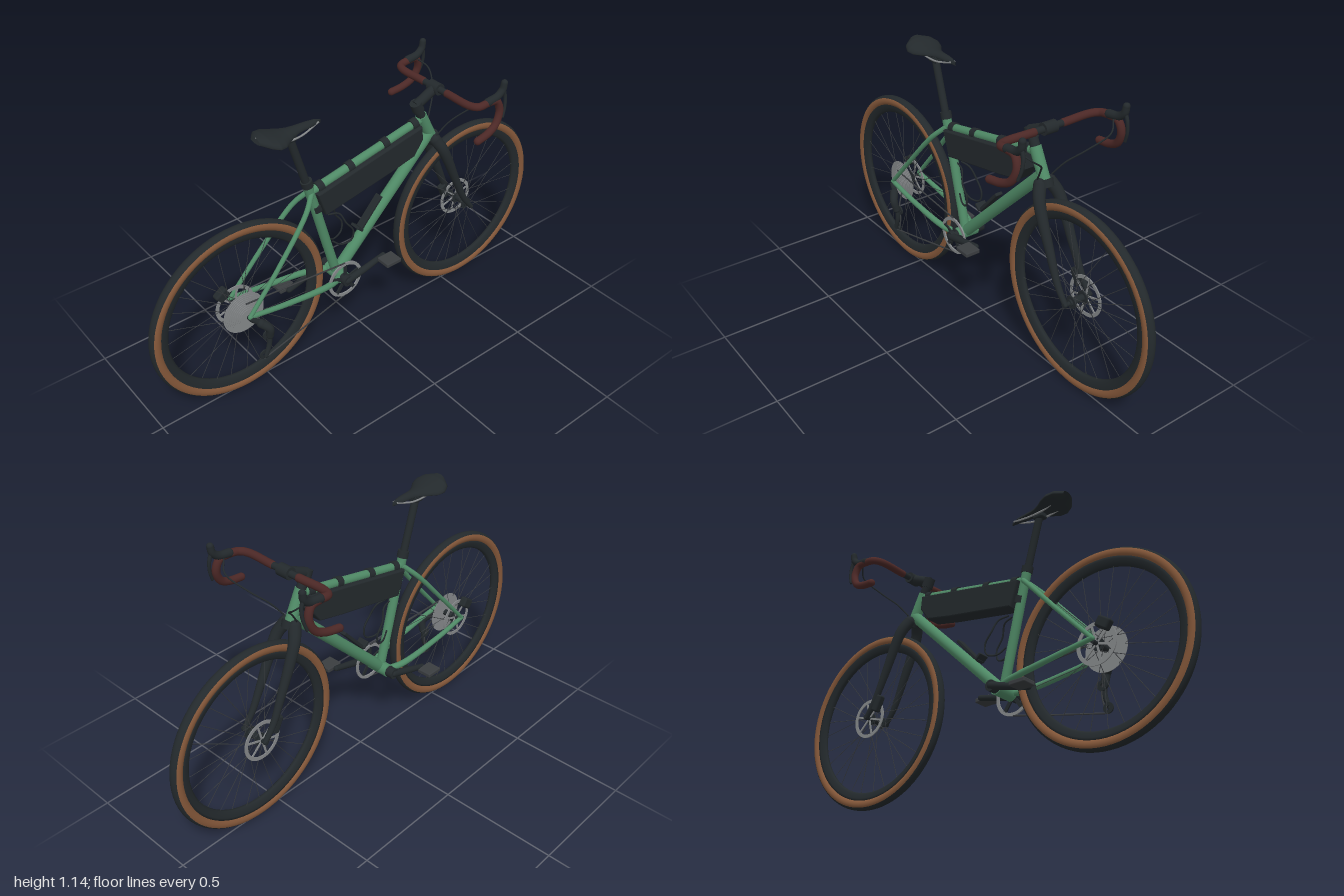
import * as THREE from 'three';
import { ParametricGeometry } from 'three/addons/geometries/ParametricGeometry.js';
import { RoundedBoxGeometry } from 'three/addons/geometries/RoundedBoxGeometry.js';

const paint = (color) => new THREE.MeshStandardMaterial({ color, side: THREE.DoubleSide });
const BLACK = paint(0x23292c), GREEN = paint(0x4f8a66), TAN = paint(0x85583a);
const TAPE = paint(0x4c2826), GREY = paint(0x85888a), STEEL = paint(0x3a3d40);
const V = (p) => new THREE.Vector3(...p);
const WHEEL_X = 0.599, WHEEL_R = 0.401;
const BB = [-0.125, 0.35, 0];

export function createModel() {
  const bike = new THREE.Group();
  bike.name = 'bicycle';

  const add = (name, geo, mat, pos = [0, 0, 0], parent = bike) => {
    const m = new THREE.Mesh(geo, mat);
    m.name = name;
    m.position.set(...pos);
    parent.add(m);
    return m;
  };
  // Straight, optionally tapered rod between two points
  const rod = (name, a, b, r0, mat, r1 = r0, sides = 16, parent = bike) => {
    const d = V(b).sub(V(a));
    const m = add(name, new THREE.CylinderGeometry(r1, r0, d.length(), sides), mat, V(a).add(V(b)).multiplyScalar(0.5).toArray(), parent);
    m.quaternion.setFromUnitVectors(new THREE.Vector3(0, 1, 0), d.normalize());
    return m;
  };
  // Curved tube with a linear taper and rounded ends
  const sweep = (name, pts, r0, mat, r1 = r0, sides = 12, seg = 28) => {
    const g = new THREE.Group();
    g.name = name;
    bike.add(g);
    const curve = new THREE.CatmullRomCurve3(pts.map(V));
    const geo = new THREE.TubeGeometry(curve, seg, 1, sides);
    const pos = geo.attributes.position, p = new THREE.Vector3();
    for (let i = 0; i < pos.count; i++) {
      const t = Math.floor(i / (sides + 1)) / seg;
      const c = curve.getPointAt(t);
      p.fromBufferAttribute(pos, i).sub(c).multiplyScalar(r0 + (r1 - r0) * t).add(c);
      pos.setXYZ(i, p.x, p.y, p.z);
    }
    add(name + 'Tube', geo, mat, [0, 0, 0], g);
    if (r0 > 0.006) {
      add(name + 'Start', new THREE.SphereGeometry(r0, sides, 8), mat, pts[0], g);
      add(name + 'End', new THREE.SphereGeometry(r1, sides, 8), mat, pts[pts.length - 1], g);
    }
    return g;
  };
  const box = (name, size, pos, mat, rotZ = 0) => {
    const m = add(name, new RoundedBoxGeometry(...size, 2, Math.min(...size) * 0.25), mat, pos);
    m.rotation.z = rotZ;
    return m;
  };
  // Flat annulus facing z, with optional arms to the centre
  const ring = (name, rOut, rIn, depth, pos, mat, arms = 0, armWidth = 0.01, armMat = mat) => {
    const g = new THREE.Group();
    g.name = name;
    g.position.set(...pos);
    bike.add(g);
    const s = new THREE.Shape().absarc(0, 0, rOut, 0, Math.PI * 2);
    s.holes.push(new THREE.Path().absarc(0, 0, rIn, 0, Math.PI * 2, true));
    add(name + 'Band', new THREE.ExtrudeGeometry(s, { depth, bevelEnabled: false, curveSegments: 32 }), mat, [0, 0, -depth / 2], g);
    for (let i = 0; i < arms; i++) {
      const a = (i / arms) * Math.PI * 2 + 0.3;
      const m = add(name + 'Arm', new THREE.BoxGeometry(rIn * 1.04, armWidth, depth), armMat, [Math.cos(a) * rIn * 0.52, Math.sin(a) * rIn * 0.52, 0], g);
      m.rotation.z = a;
    }
  };

  // Wheels: tread, sidewalls, rim, hub and crossed spokes
  const arc = (from, to) => Array.from({ length: 13 }, (_, i) => {
    const a = from + ((to - from) * i) / 12;
    return new THREE.Vector2(0.377 + 0.024 * Math.cos(a), 0.024 * Math.sin(a));
  });
  const rimProfile = [[0.362, 0.017], [0.35, 0.017], [0.332, 0.012], [0.324, 0.005], [0.324, -0.005], [0.332, -0.012], [0.35, -0.017], [0.362, -0.017], [0.362, 0.017]];
  for (const [name, x] of [['rearWheel', -WHEEL_X], ['frontWheel', WHEEL_X]]) {
    const wheel = new THREE.Group();
    wheel.name = name;
    wheel.position.set(x, WHEEL_R, 0);
    bike.add(wheel);
    const lathe = (part, pts, mat) => { add(part, new THREE.LatheGeometry(pts, 80), mat, [0, 0, 0], wheel).rotation.x = Math.PI / 2; };
    lathe('tread', arc(-0.95, 0.95), BLACK);
    lathe('sidewall', arc(0.95, 2.7), TAN);
    lathe('sidewall', arc(-2.7, -0.95), TAN);
    lathe('rim', rimProfile.map((p) => new THREE.Vector2(...p)), BLACK);
    rod('hub', [0, 0, -0.04], [0, 0, 0.04], 0.014, BLACK, 0.014, 20, wheel);
    rod('axle', [0, 0, -0.07], [0, 0, 0.07], 0.009, BLACK, 0.009, 12, wheel);
    for (const s of [-1, 1]) rod('hubFlange', [0, 0, s * 0.026], [0, 0, s * 0.032], 0.026, BLACK, 0.026, 20, wheel);
    for (let i = 0; i < 28; i++) {
      const a = (i / 28) * Math.PI * 2, s = i % 2 ? 1 : -1;
      const b = a + (i % 4 < 2 ? 1.2 : -1.2);
      rod('spoke', [0.024 * Math.cos(b), 0.024 * Math.sin(b), s * 0.029], [0.328 * Math.cos(a), 0.328 * Math.sin(a), s * 0.003], 0.0014, STEEL, 0.0014, 4, wheel);
    }
    ring(name + 'BrakeRotor', 0.088, 0.073, 0.004, [x, WHEEL_R, -0.042], GREY, 6, 0.008);
  }

  // Frame
  rod('seatTube', BB, [-0.258, 0.855, 0], 0.02, GREEN);
  rod('topTube', [-0.24, 0.808, 0], [0.325, 0.925, 0], 0.018, GREEN);
  rod('downTube', BB, [0.375, 0.845, 0], 0.025, GREEN);
  rod('headTube', [0.325, 0.943, 0], [0.386, 0.823, 0], 0.024, GREEN);
  rod('bottomBracket', [-0.125, 0.35, -0.05], [-0.125, 0.35, 0.05], 0.028, GREEN);
  for (const s of [-1, 1]) {
    sweep('chainStay', [[-0.13, 0.35, s * 0.035], [-0.2, 0.357, s * 0.062], [-0.42, 0.385, s * 0.074], [-0.6, 0.412, s * 0.072]], 0.015, GREEN, 0.01);
    sweep('seatStay', [[-0.246, 0.805, s * 0.012], [-0.3, 0.75, s * 0.045], [-0.45, 0.58, s * 0.066], [-0.602, 0.41, s * 0.072]], 0.011, GREEN, 0.009);
    // Fork leg
    sweep('forkLeg', [[0.388, 0.815, s * 0.025], [0.415, 0.765, s * 0.048], [0.5, 0.575, s * 0.057], [0.555, 0.46, s * 0.06], [WHEEL_X, WHEEL_R, s * 0.06]], 0.026, BLACK, 0.011);
  }
  rod('forkCrown', [0.384, 0.828, 0], [0.398, 0.8, 0], 0.034, BLACK, 0.03);

  // Seat post, clamp and saddle
  rod('seatCollar', [-0.254, 0.84, 0], [-0.262, 0.868, 0], 0.024, BLACK);
  rod('seatPost', [-0.25, 0.82, 0], [-0.329, 1.085, 0], 0.016, BLACK);
  box('saddleClamp', [0.05, 0.03, 0.04], [-0.33, 1.085, 0], BLACK);
  const lerp = (tab, t) => {
    const k = Math.min(Math.floor(t * (tab.length - 1)), tab.length - 2);
    return THREE.MathUtils.lerp(tab[k], tab[k + 1], t * (tab.length - 1) - k);
  };
  const halfWidth = [0.03, 0.068, 0.08, 0.072, 0.052, 0.035, 0.025, 0.021, 0.019, 0.013, 0.001];
  const topLine = [1.142, 1.143, 1.137, 1.13, 1.125, 1.123, 1.123, 1.123, 1.122, 1.12, 1.112];
  add('saddle', new ParametricGeometry((u, v, out) => {
    const a = v * Math.PI * 2, w = lerp(halfWidth, u), c = Math.cos(a), s = Math.sin(a);
    const thick = 0.012 + 0.25 * w;
    out.set(-0.475 + 0.29 * u, lerp(topLine, u) - thick + (s > 0 ? thick * s : thick * 0.35 * s), w * c);
  }, 40, 28), BLACK);
  for (const s of [-1, 1]) {
    sweep('saddleRail', [[-0.45, 1.115, s * 0.035], [-0.39, 1.092, s * 0.025], [-0.29, 1.088, s * 0.022], [-0.2, 1.108, s * 0.008]], 0.004, GREY, 0.004, 6);
  }

  // Steerer, stem and handlebar
  rod('steererSpacers', [0.325, 0.943, 0], [0.298, 0.998, 0], 0.02, BLACK);
  rod('stemClamp', [0.31, 0.972, 0], [0.292, 1.012, 0], 0.025, BLACK);
  rod('stem', [0.295, 0.998, 0], [0.395, 1.045, 0], 0.021, BLACK);
  rod('barClamp', [0.398, 1.047, -0.028], [0.398, 1.047, 0.028], 0.025, BLACK);
  rod('handlebarCentre', [0.398, 1.047, -0.075], [0.398, 1.047, 0.075], 0.014, BLACK);
  for (const s of [-1, 1]) {
    sweep('handlebarDrop', [[0.398, 1.047, s * 0.07], [0.398, 1.048, s * 0.2], [0.415, 1.05, s * 0.232], [0.46, 1.055, s * 0.238],
      [0.505, 1.05, s * 0.24], [0.523, 1.005, s * 0.245], [0.5, 0.952, s * 0.252], [0.455, 0.928, s * 0.258], [0.392, 0.917, s * 0.263]], 0.016, TAPE, 0.016, 14, 60);
    sweep('brakeHood', [[0.46, 1.058, s * 0.238], [0.51, 1.067, s * 0.238], [0.537, 1.09, s * 0.239], [0.543, 1.118, s * 0.24]], 0.018, BLACK, 0.014);
    sweep('brakeLever', [[0.54, 1.095, s * 0.24], [0.552, 1.055, s * 0.242], [0.55, 1.01, s * 0.247], [0.538, 0.972, s * 0.252]], 0.008, BLACK, 0.006, 8);
    sweep('cable', [[0.5, 1.055, s * 0.222], [0.53, 1.02, s * 0.185], [0.49, 0.96, s * 0.11], [0.43, 0.9, s * 0.06], [0.385, 0.84, s * 0.035]], 0.0035, BLACK, 0.0035, 6);
  }

  // Frame bag with straps over the top tube
  const bag = new THREE.Shape([[-0.225, 0.8], [0.3, 0.905], [0.305, 0.85], [0.262, 0.79], [0.14, 0.762], [-0.19, 0.7]].map((p) => new THREE.Vector2(...p)));
  add('frameBag', new THREE.ExtrudeGeometry(bag, { depth: 0.056, bevelThickness: 0.01, bevelSize: 0.006, bevelSegments: 3 }), BLACK, [0, 0, -0.028]);
  for (const x of [-0.2, -0.05, 0.13, 0.285]) {
    const y = 0.808 + (x + 0.24) * 0.207;
    rod('bagStrap', [x - 0.014, y - 0.003, 0], [x + 0.014, y + 0.003, 0], 0.024, BLACK);
  }
  rod('bagSeatStrap', [-0.214, 0.71, 0], [-0.222, 0.74, 0], 0.024, BLACK);

  // Bottle cages: one solid on the down tube, one of wire on the seat tube
  box('downTubeCage', [0.17, 0.014, 0.035], [0.052, 0.578, 0], BLACK, 0.84);
  box('downTubeCageFoot', [0.035, 0.012, 0.05], [-0.01, 0.53, 0], BLACK, -0.7);
  for (const s of [-1, 1]) {
    sweep('seatTubeCageWire', [[-0.15, 0.53, s * 0.012], [-0.115, 0.505, s * 0.025], [-0.07, 0.515, s * 0.036], [-0.062, 0.56, s * 0.038], [-0.095, 0.61, s * 0.036], [-0.12, 0.66, s * 0.02], [-0.165, 0.67, s * 0.01]], 0.004, BLACK, 0.004, 6);
  }

  // Cranks, pedals and chainring
  ring('chainring', 0.085, 0.071, 0.006, [BB[0], BB[1], 0.062], GREY, 5, 0.016, BLACK);
  rod('crankAxle', [BB[0], BB[1], -0.085], [BB[0], BB[1], 0.085], 0.024, BLACK);
  for (const [s, x, y] of [[1, 0.063, 0.397], [-1, -0.312, 0.293]]) {
    sweep('crankArm', [[BB[0], BB[1], s * 0.076], [(BB[0] + x) / 2, (BB[1] + y) / 2, s * 0.082], [x, y, s * 0.083]], 0.017, BLACK, 0.012);
    rod('pedalAxle', [x, y, s * 0.08], [x, y, s * 0.15], 0.007, BLACK);
    box('pedal', [0.076, 0.02, 0.068], [x, y, s * 0.124], STEEL);
  }

  // Cassette, rear derailleur and chain
  for (let i = 0; i < 10; i++) {
    const r = 0.093 - i * 0.0062, z = 0.022 + i * 0.0036;
    rod('cassetteCog', [-WHEEL_X, WHEEL_R, z], [-WHEEL_X, WHEEL_R, z + 0.002], r, GREY, r, 36);
  }
  rod('derailleurHanger', [-0.6, 0.405, 0.075], [-0.565, 0.37, 0.085], 0.012, BLACK);
  sweep('derailleurBody', [[-0.565, 0.372, 0.09], [-0.54, 0.345, 0.108], [-0.535, 0.3, 0.1]], 0.019, BLACK, 0.016);
  sweep('derailleurCage', [[-0.535, 0.3, 0.094], [-0.537, 0.25, 0.094], [-0.556, 0.195, 0.094]], 0.012, BLACK, 0.009);
  for (const [x, y] of [[-0.535, 0.29], [-0.556, 0.195]]) ring('jockeyWheel', 0.022, 0.008, 0.006, [x, y, 0.082], BLACK);
  sweep('chainLower', [[-0.56, 0.174, 0.084], [-0.35, 0.217, 0.073], [-0.125, 0.266, 0.062]], 0.0035, STEEL, 0.0035, 6);
  sweep('chainUpper', [[-0.6, 0.46, 0.046], [-0.36, 0.447, 0.054], [-0.125, 0.434, 0.062]], 0.0035, STEEL, 0.0035, 6);
  sweep('chainReturn', [[-0.556, 0.38, 0.05], [-0.54, 0.31, 0.08], [-0.53, 0.25, 0.083], [-0.545, 0.18, 0.083]], 0.0035, STEEL, 0.0035, 6);

  // Disc brake calipers
  box('rearCaliper', [0.06, 0.045, 0.035], [-0.645, 0.465, -0.056], BLACK, 0.6);
  box('frontCaliper', [0.035, 0.075, 0.03], [0.535, 0.452, -0.055], BLACK, 0.45);
  return bike;
}
